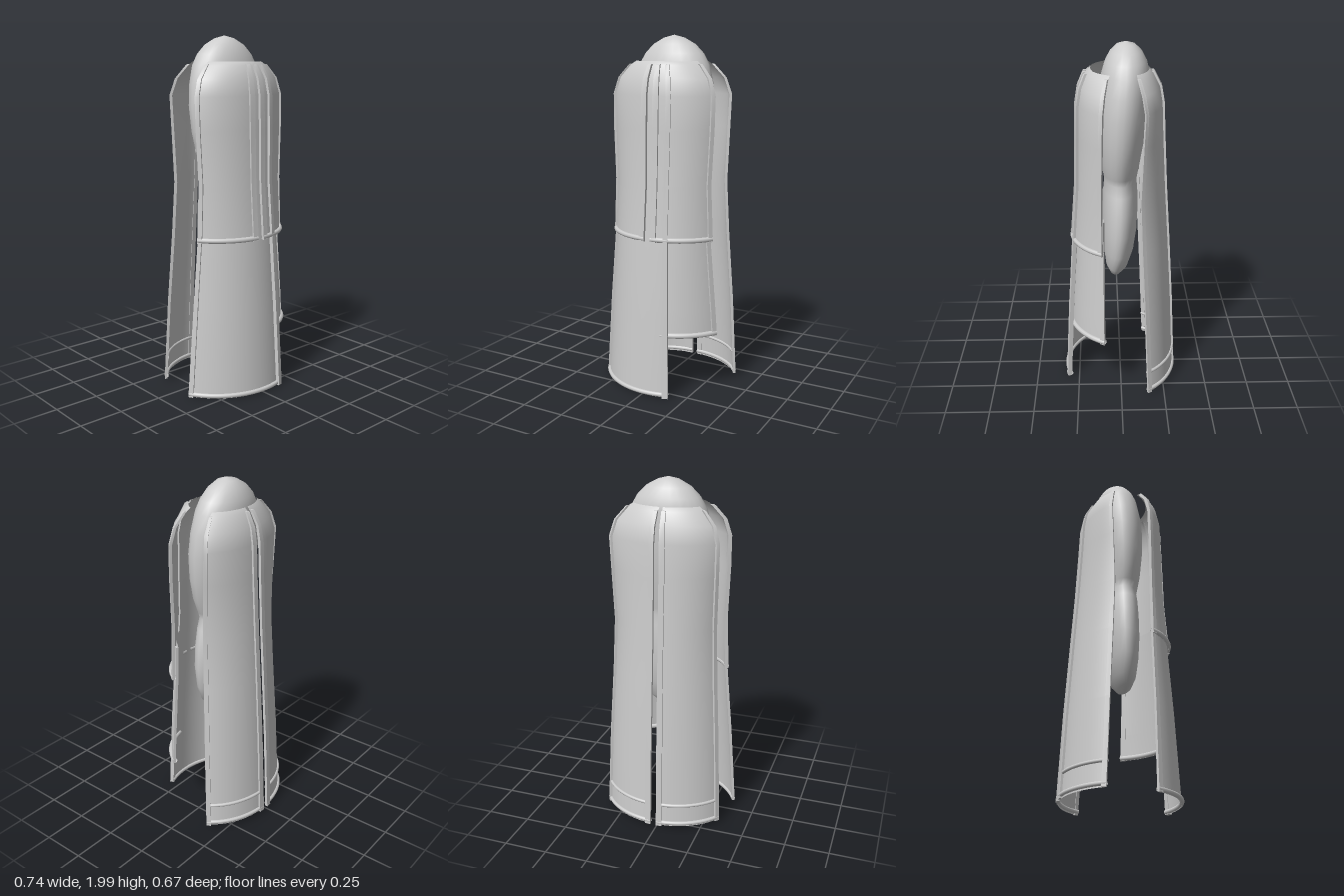
import * as THREE from 'three';
import { toCreasedNormals } from 'three/addons/utils/BufferGeometryUtils.js';

const cloth = new THREE.MeshStandardMaterial({ color: 0xcccccc, side: THREE.DoubleSide });
cloth.name = 'light grey cloth';

const CX = 0.015; // middle of the garment
const SPAN = 1.08; // half angle of each panel's arc

// Profiles: height, half width, z of the side edge, z at the middle
const FRONT = [
  [1.86, 0.185, 0.055, 0.16], [1.84, 0.215, 0.065, 0.185], [1.77, 0.275, 0.08, 0.215],
  [1.68, 0.302, 0.09, 0.23], [1.5, 0.3, 0.095, 0.235], [1.2, 0.287, 0.1, 0.243],
  [0.9, 0.3, 0.1, 0.267], [0.5, 0.335, 0.1, 0.295], [0, 0.372, 0.095, 0.322],
];
const BACK = [
  [1.86, 0.185, 0.08, 0.155], [1.84, 0.215, 0.085, 0.175], [1.77, 0.275, 0.105, 0.212],
  [1.68, 0.302, 0.12, 0.228], [1.5, 0.298, 0.112, 0.236], [1.2, 0.29, 0.1, 0.252],
  [0.9, 0.302, 0.112, 0.272], [0.5, 0.324, 0.132, 0.297], [0.02, 0.342, 0.152, 0.32],
];

function rowAt(profile, y) {
  let i = 0;
  while (i < profile.length - 2 && profile[i + 1][0] > y) i++;
  const p = profile[i], q = profile[i + 1];
  const t = (p[0] - y) / (p[0] - q[0]);
  return p.map((v, k) => v + (q[k] - v) * t);
}

// Point on a curved panel; u runs from -1 to 1 across it
function point(profile, sign, u, y, off = 0) {
  const [, half, zEdge, zMid] = rowAt(profile, y);
  const a = half / Math.sin(SPAN);
  const b = (zMid - zEdge) / (1 - Math.cos(SPAN));
  const t = u * SPAN;
  return new THREE.Vector3(
    CX + (a + off) * Math.sin(t), y, sign * (zMid - b + (b + off) * Math.cos(t)));
}

// Surface through rings of points with equal counts
function loft(rings, closed = false) {
  const n = rings[0].length, index = [];
  for (let i = 0; i < rings.length - 1; i++) {
    for (let j = 0; j < (closed ? n : n - 1); j++) {
      const a = i * n + j, b = i * n + (j + 1) % n, c = a + n, d = b + n;
      index.push(a, c, b, b, c, d);
    }
  }
  const g = new THREE.BufferGeometry().setFromPoints(rings.flat());
  g.setIndex(index);
  g.computeVertexNormals();
  return g;
}

function add(parent, name, geometry) {
  const m = new THREE.Mesh(geometry, cloth);
  m.name = name;
  parent.add(m);
}

function heights(profile, top, bottom) {
  const inner = profile.map(r => r[0]).filter(y => y < top - 0.005 && y > bottom + 0.005);
  return [top, ...inner, bottom];
}

// One cloth panel with raised edge strips and rounded hems
function panel(name, o) {
  const { profile, sign = 1, u0, u1, top = 1.86, bottom, off = 0, hems, strips } = o;
  const group = new THREE.Group();
  group.name = name;
  const across = 20;
  add(group, 'sheet', loft(heights(profile, top, bottom).map(y =>
    Array.from({ length: across + 1 }, (_, i) =>
      point(profile, sign, u0 + (u1 - u0) * i / across, y, off)))));

  // Edge strips: a flat box section swept down the panel
  for (const [s0, s1, lift = 0.012] of strips) {
    const rings = heights(profile, top - 0.015, bottom).map(y => [
      point(profile, sign, s0, y, off - 0.003), point(profile, sign, s0, y, off + lift),
      point(profile, sign, s1, y, off + lift), point(profile, sign, s1, y, off - 0.003)]);
    add(group, 'edgeStrip', toCreasedNormals(loft(rings, true), 0.6));
    for (const r of [rings[0], rings[rings.length - 1]])
      add(group, 'stripEnd', loft([[r[0], r[1]], [r[3], r[2]]]));
  }

  // Hems: tubes following the arc
  for (const [y, radius] of hems) {
    const path = Array.from({ length: 15 }, (_, i) =>
      point(profile, sign, u0 + (u1 - u0) * i / 14, y, off + 0.002));
    add(group, 'hem', new THREE.TubeGeometry(new THREE.CatmullRomCurve3(path), 28, radius, 8));
  }
  return group;
}

// Inner body: height, half width, half depth, centre z
function body() {
  const rows = [
    [2, 0.002, 0.002, -0.03], [1.985, 0.06, 0.05, -0.03], [1.95, 0.125, 0.085, -0.03],
    [1.9, 0.175, 0.112, -0.03], [1.84, 0.21, 0.128, -0.028], [1.74, 0.238, 0.136, -0.02],
    [1.62, 0.25, 0.138, -0.012], [1.48, 0.24, 0.128, -0.005], [1.36, 0.215, 0.112, 0],
    [1.28, 0.185, 0.098, 0], [1.24, 0.17, 0.09, 0], [1.18, 0.19, 0.096, 0],
    [1.08, 0.21, 0.1, 0], [0.95, 0.215, 0.098, 0.004], [0.82, 0.195, 0.086, 0.01],
    [0.72, 0.15, 0.064, 0.02], [0.67, 0.09, 0.035, 0.028], [0.65, 0.002, 0.002, 0.03],
  ];
  return loft(rows.map(([y, rx, rz, cz]) => Array.from({ length: 24 }, (_, i) => {
    const t = i / 24 * Math.PI * 2;
    return new THREE.Vector3(0.017 + rx * Math.sin(t), y, cz + rz * Math.cos(t));
  })), true);
}

export function createModel() {
  const model = new THREE.Group();
  model.name = 'layeredRobe';
  add(model, 'innerBody', body());

  // Short upper front panels
  model.add(panel('rightUpperFront', {
    profile: FRONT, u0: -1, u1: -0.055, bottom: 0.89, off: 0.006,
    hems: [[0.905, 0.014]], strips: [[-1, -0.93], [-0.14, -0.055]],
  }));
  model.add(panel('leftUpperFront', {
    profile: FRONT, u0: 0.045, u1: 1, bottom: 0.89, off: 0.006,
    hems: [[0.905, 0.014]], strips: [[0.045, 0.13], [0.93, 1]],
  }));

  // Long front panel, overlapping the middle length one
  model.add(panel('longFront', {
    profile: FRONT, u0: -1, u1: 0.31, bottom: 0.01,
    hems: [[0.025, 0.013]], strips: [[-1, -0.94], [0.24, 0.31, 0.02]],
  }));
  model.add(panel('leftMiddleFront', {
    profile: FRONT, u0: 0.2, u1: 1, top: 1.1, bottom: 0.35, off: -0.015,
    hems: [[0.365, 0.015]], strips: [[0.93, 1]],
  }));

  // Pair of full length back panels
  for (const side of [-1, 1]) {
    const inner = side < 0 ? -0.04 : 0.04;
    const u0 = side < 0 ? -1 : inner, u1 = side < 0 ? inner : 1;
    model.add(panel(side < 0 ? 'rightBack' : 'leftBack', {
      profile: BACK, sign: -1, u0, u1, bottom: 0.025,
      hems: [[0.045, 0.012], [0.16, 0.01]],
      strips: [[side * 0.93, side], [inner, inner + side * 0.08]],
    }));
  }
  return model;
}
